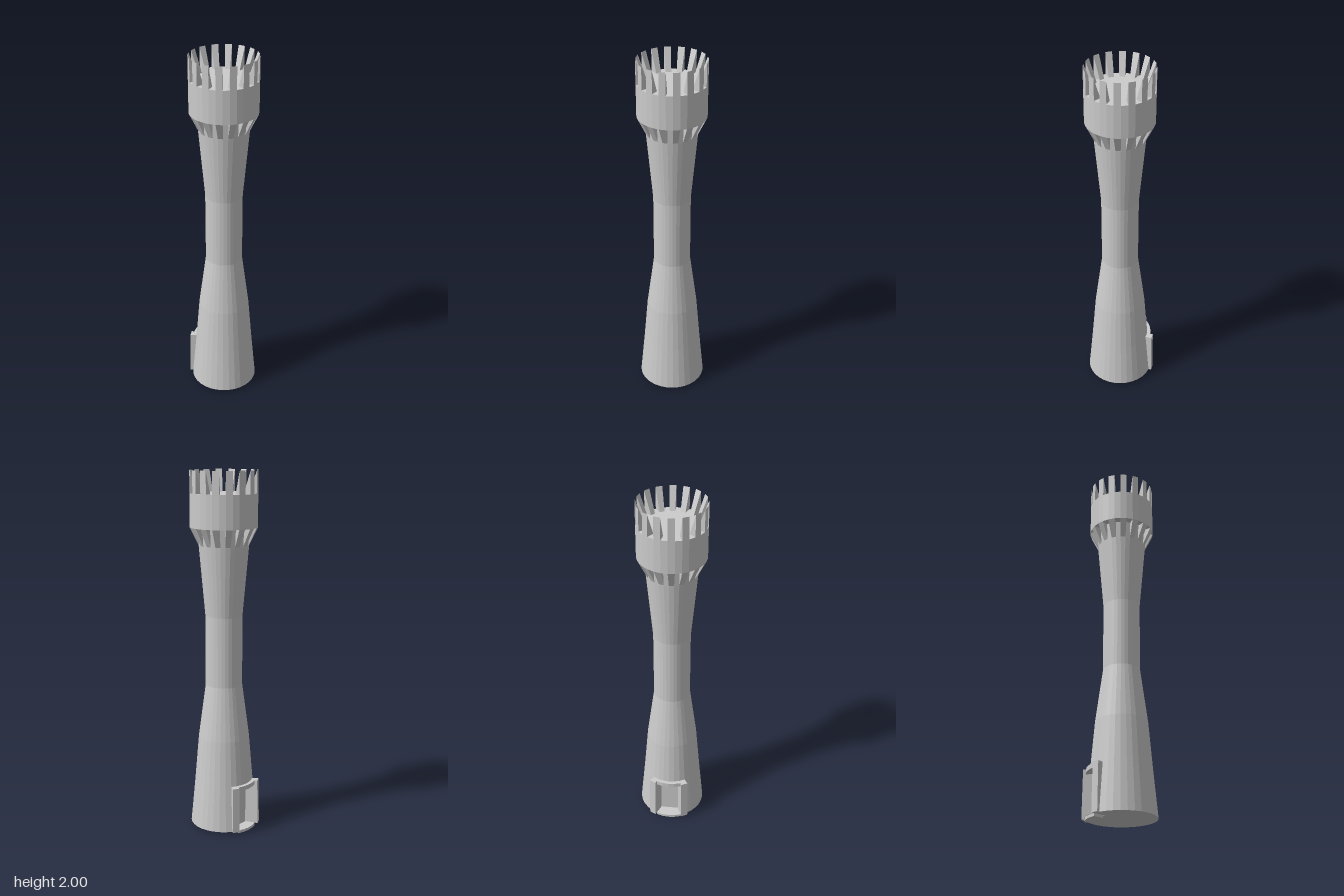
import * as THREE from 'three';

const DEG = Math.PI / 180;
const SIDES = 32;
const STEP = 360 / SIDES;
const material = new THREE.MeshStandardMaterial({ color: 0xcccccc, flatShading: true, side: THREE.DoubleSide });

function add(group, name, geometry) {
  const mesh = new THREE.Mesh(geometry, material);
  mesh.name = name;
  group.add(mesh);
  return mesh;
}

// Sweeps a counter-clockwise convex [radius, y] section around the y axis, from angle a0 to a1 (degrees).
function arcBlock(section, a0, a1, steps = 1) {
  const pos = [];
  const n = section.length;
  const point = (i, s) => {
    const a = (a0 + (a1 - a0) * s / steps) * DEG;
    const [r, y] = section[i % n];
    return [r * Math.cos(a), y, -r * Math.sin(a)];
  };
  for (let s = 0; s < steps; s++) {
    for (let i = 0; i < n; i++) {
      const p = point(i, s), q = point(i + 1, s), p2 = point(i, s + 1), q2 = point(i + 1, s + 1);
      pos.push(...p, ...q2, ...q, ...p, ...p2, ...q2);
    }
  }
  for (let i = 1; i < n - 1; i++) {
    pos.push(...point(0, 0), ...point(i, 0), ...point(i + 1, 0));
    pos.push(...point(0, steps), ...point(i + 1, steps), ...point(i, steps));
  }
  const geometry = new THREE.BufferGeometry();
  geometry.setAttribute('position', new THREE.Float32BufferAttribute(pos, 3));
  geometry.computeVertexNormals();
  return geometry;
}

const profile = (points) => points.map(([r, y]) => new THREE.Vector2(r, y));

export function createModel() {
  const tower = new THREE.Group();
  tower.name = 'tower';

  // Foot of the wall, left open at the back for the doorway
  const gap = 2 * STEP;
  add(tower, 'baseWall', new THREE.LatheGeometry(
    profile([[0.188, 0.015], [0.164, 0.27]]), SIDES - 4, (180 + gap) * DEG, (360 - 2 * gap) * DEG));
  const bottom = add(tower, 'bottom', new THREE.CircleGeometry(0.188, SIDES));
  bottom.rotation.x = Math.PI / 2;
  bottom.position.y = 0.015;

  // Waisted shaft
  add(tower, 'shaft', new THREE.LatheGeometry(
    profile([[0.164, 0.27], [0.142, 0.53], [0.102, 0.83], [0.102, 1.22], [0.136, 1.6], [0.143, 1.7]]), SIDES));

  // Wide drum with a flat roof deck
  add(tower, 'drum', new THREE.LatheGeometry(
    profile([[0.14, 1.7], [0.183, 1.7], [0.183, 1.88], [0, 1.88]]), SIDES));

  // Wedge merlons above the drum and wedge corbels below it, on every other side
  const merlon = [[0.139, 1.88], [0.183, 1.88], [0.183, 2]];
  const corbel = [[0.134, 1.6], [0.183, 1.7], [0.134, 1.7]];
  for (let k = 0; k < SIDES; k += 2) {
    add(tower, 'merlon', arcBlock(merlon, k * STEP, (k + 1) * STEP));
    add(tower, 'corbel', arcBlock(corbel, k * STEP, (k + 1) * STEP));
  }

  // Recessed doorway at the back: jambs, lintel, threshold and door panel
  const doorway = new THREE.Group();
  doorway.name = 'doorway';
  const jamb = [[0.125, 0.015], [0.204, 0.015], [0.2, 0.275], [0.125, 0.275]];
  add(doorway, 'leftJamb', arcBlock(jamb, 90 - 3 * STEP, 90 - gap));
  add(doorway, 'rightJamb', arcBlock(jamb, 90 + gap, 90 + 3 * STEP));
  add(doorway, 'lintel', arcBlock([[0.12, 0.25], [0.184, 0.25], [0.184, 0.275], [0.12, 0.275]], 90 - gap, 90 + gap, 4));
  add(doorway, 'threshold', arcBlock([[0.125, 0], [0.187, 0], [0.187, 0.016], [0.125, 0.016]], 90 - gap, 90 + gap, 4));
  const panel = add(doorway, 'doorPanel', new THREE.BoxGeometry(0.1, 0.25, 0.01));
  panel.position.set(0, 0.135, -0.115);
  tower.add(doorway);

  return tower;
}
